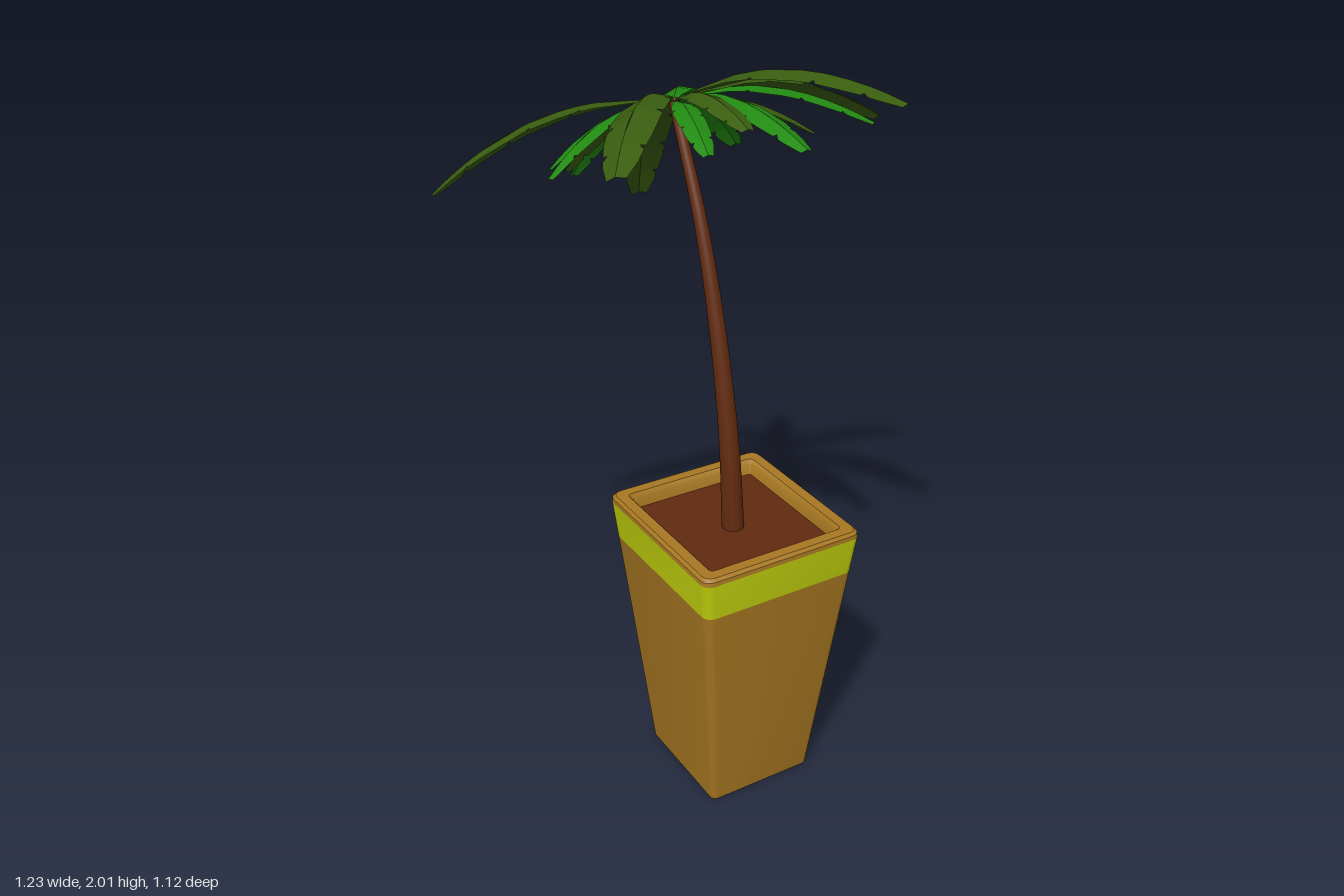
import * as THREE from 'three';
import { toCreasedNormals } from 'three/addons/utils/BufferGeometryUtils.js';

const mat = (name, color, side = THREE.FrontSide) =>
  Object.assign(new THREE.MeshStandardMaterial({ color, side }), { name });

function buildGeometry(positions, indices) {
  const g = new THREE.BufferGeometry();
  g.setAttribute('position', new THREE.Float32BufferAttribute(positions, 3));
  g.setIndex(indices);
  return g;
}

// Rounded rectangle ring, half sizes hx and hz, corner radius r
function ring(y, hx, hz, r) {
  const pts = [];
  for (let c = 0; c < 4; c++) {
    const sx = c === 0 || c === 3 ? 1 : -1, sz = c < 2 ? 1 : -1;
    for (let k = 0; k <= 4; k++) {
      const a = (c + k / 4) * Math.PI / 2;
      pts.push(sx * (hx - r) + r * Math.cos(a), y, sz * (hz - r) + r * Math.sin(a));
    }
  }
  return pts;
}

// Skin over a stack of rings [y, hx, hz, r]
function loft(levels) {
  const n = 20, idx = [];
  const pos = levels.flatMap((l) => ring(...l));
  for (let j = 0; j < levels.length - 1; j++) {
    for (let i = 0; i < n; i++) {
      const a = j * n + i, b = j * n + (i + 1) % n;
      idx.push(a, a + n, b, b, a + n, b + n);
    }
  }
  return toCreasedNormals(buildGeometry(pos, idx), 0.7);
}

// Tapered trunk along a bent curve
function trunkGeometry() {
  const curve = new THREE.CatmullRomCurve3([
    [0.77, 0.28], [1.0, 0.258], [1.2, 0.222], [1.4, 0.172], [1.6, 0.105], [1.78, 0.022], [1.89, -0.035],
  ].map(([y, z]) => new THREE.Vector3(-0.042, y, z)));
  const segs = 24, sides = 12;
  const g = new THREE.TubeGeometry(curve, segs, 1, sides);
  const p = g.attributes.position, v = new THREE.Vector3();
  for (let i = 0; i < p.count; i++) {
    const u = Math.floor(i / (sides + 1)) / segs;
    const c = curve.getPointAt(u);
    v.fromBufferAttribute(p, i).sub(c).multiplyScalar(0.031 - 0.018 * u).add(c);
    p.setXYZ(i, v.x, v.y, v.z);
  }
  return g;
}

// Frond outline: half width along the length
const outline = [[0, 0.04], [0.12, 0.3], [0.3, 0.75], [0.45, 0.97], [0.6, 1], [0.78, 0.92], [0.92, 0.68], [1, 0.38]];
function widthAt(t) {
  let i = 0;
  while (i < outline.length - 2 && t > outline[i + 1][0]) i++;
  const [t0, w0] = outline[i], [t1, w1] = outline[i + 1];
  return w0 + (w1 - w0) * (t - t0) / (t1 - t0);
}

const crown = new THREE.Vector3(-0.04, 1.88, -0.033);
const crownUp = new THREE.Vector3(0, 0.93, -0.36).normalize();

// Arched leaf folded along its midrib, with torn notches on both edges
function frondGeometry(tip, halfWidth) {
  const length = tip.distanceTo(crown);
  const mid = crown.clone().lerp(tip, 0.5).addScaledVector(crownUp, 0.25 * length);
  const curve = new THREE.QuadraticBezierCurve3(crown, mid, tip);
  const pos = [], idx = [];
  for (const s of [-1, 1]) {
    const stations = outline.map(([t, w]) => [t, w]);
    for (const t of s < 0 ? [0.36, 0.57, 0.84] : [0.41, 0.68, 0.87]) {
      stations.push([t - 0.004, widthAt(t - 0.004)], [t, widthAt(t) * 0.74], [t + 0.022, widthAt(t + 0.022)]);
    }
    stations.sort((a, b) => a[0] - b[0]);
    const start = pos.length / 3;
    stations.forEach(([t, w], i) => {
      const c = curve.getPoint(t), tangent = curve.getTangent(t);
      const side = new THREE.Vector3().crossVectors(tangent, crownUp).normalize();
      const up = new THREE.Vector3().crossVectors(side, tangent);
      const e = c.clone().addScaledVector(side, s * w * halfWidth).addScaledVector(up, -0.35 * w * halfWidth);
      pos.push(c.x, c.y, c.z, e.x, e.y, e.z);
      if (i === 0) return;
      const a = start + 2 * (i - 1);
      if (s > 0) idx.push(a, a + 1, a + 2, a + 2, a + 1, a + 3);
      else idx.push(a, a + 2, a + 1, a + 2, a + 3, a + 1);
    });
  }
  const g = buildGeometry(pos, idx);
  g.computeVertexNormals();
  return g;
}

export function createModel() {
  const model = new THREE.Group();
  model.name = 'pottedPalm';
  const clay = mat('clay', 0xa87822);
  const band = mat('limeBand', 0xc2d20c);
  const brown = mat('barkBrown', 0x622b10);
  const darkLeaf = mat('darkLeaf', 0x3a5e10, THREE.DoubleSide);
  const brightLeaf = mat('brightLeaf', 0x228a12, THREE.DoubleSide);
  const add = (name, geometry, material, parent = model) => {
    const m = new THREE.Mesh(geometry, material);
    m.name = name;
    parent.add(m);
    return m;
  };

  // Square tapered pot
  const pot = new THREE.Group();
  pot.name = 'pot';
  pot.position.set(-0.04, 0, 0.273);
  model.add(pot);
  add('potBody', loft([[0, 0, 0, 0], [0, 0.162, 0.174, 0.018], [0.69, 0.232, 0.25, 0.026]]), clay, pot);
  add('potBand', loft([[0.69, 0.232, 0.25, 0.026], [0.8, 0.244, 0.262, 0.028]]), band, pot);
  add('potRim', loft([
    [0.8, 0.244, 0.262, 0.028], [0.812, 0.243, 0.261, 0.028], [0.82, 0.235, 0.253, 0.024],
    [0.82, 0.205, 0.223, 0.012], [0.81, 0.196, 0.214, 0.01], [0.76, 0.19, 0.206, 0.01],
  ]), clay, pot);
  add('soil', loft([[0.778, 0.193, 0.21, 0.01], [0.778, 0, 0, 0]]), brown, pot);

  // Trunk
  add('trunk', trunkGeometry(), brown);

  // Fronds: tip x, y, z and half width
  const fronds = new THREE.Group();
  fronds.name = 'fronds';
  model.add(fronds);
  const dark = [
    [0.14, 1.455, -0.56, 0.062], [0.612, 1.755, -0.015, 0.062], [0.25, 1.975, 0.55, 0.062],
    [-0.48, 1.9, 0.475, 0.062], [-0.608, 1.655, -0.305, 0.06], [-0.235, 1.66, -0.285, 0.045],
    [-0.08, 1.92, 0.38, 0.042], [0.255, 1.81, 0.175, 0.042],
  ];
  const bright = [
    [-0.18, 1.62, -0.352, 0.042], [0.245, 1.71, -0.41, 0.052], [0.285, 1.665, -0.245, 0.045],
    [-0.38, 1.75, -0.07, 0.034], [-0.45, 1.775, 0.07, 0.04], [0.315, 1.87, 0.345, 0.048],
    [0.005, 1.89, 0.5, 0.045], [-0.145, 1.85, 0.31, 0.035],
  ];
  for (const [list, material, name] of [[dark, darkLeaf, 'darkFrond'], [bright, brightLeaf, 'brightFrond']]) {
    list.forEach(([x, y, z, w], i) =>
      add(name + (i + 1), frondGeometry(new THREE.Vector3(x, y, z), w), material, fronds));
  }
  return model;
}
